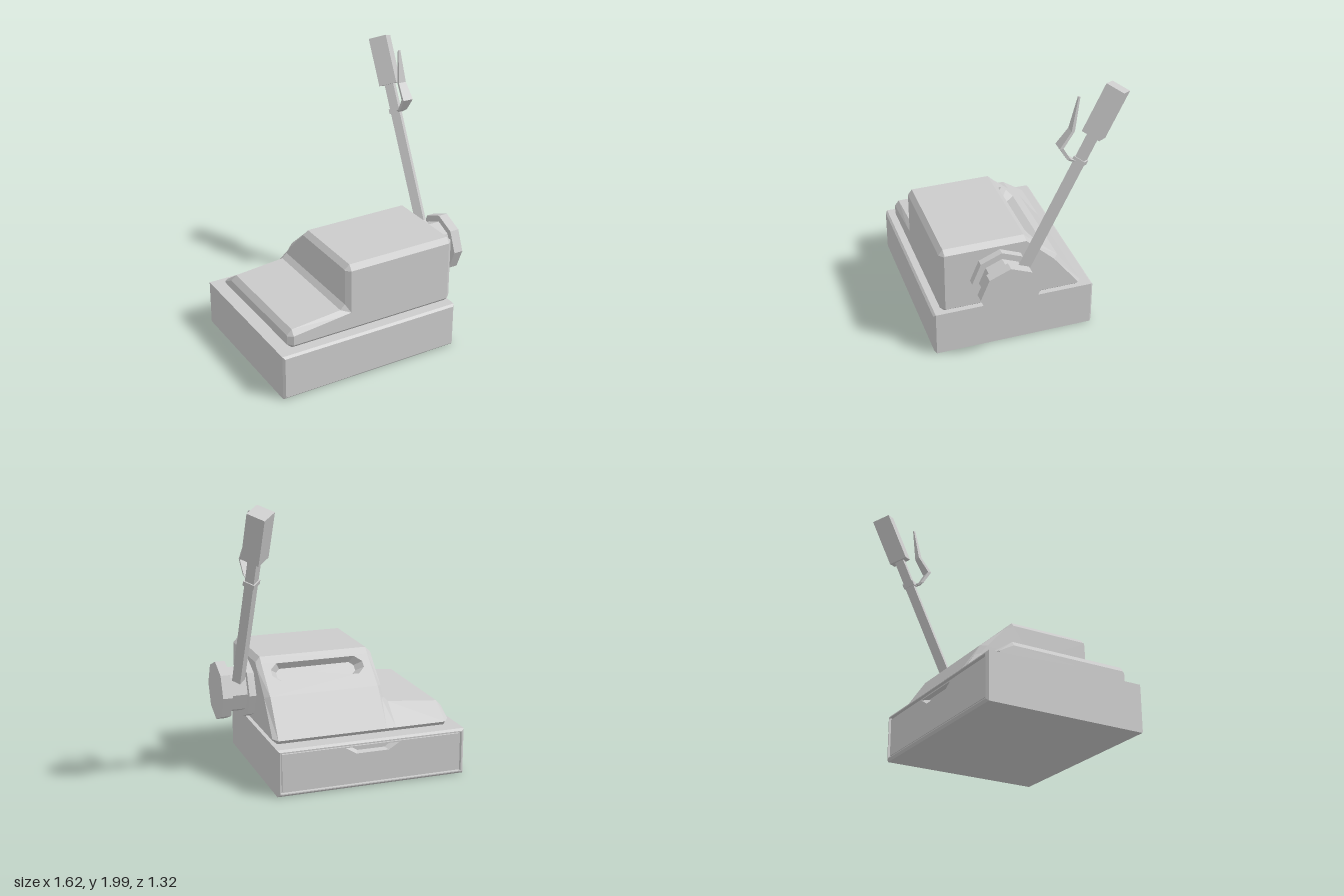
import * as THREE from 'three';

const V = (x, y, z) => new THREE.Vector3(x, y, z);
const material = new THREE.MeshStandardMaterial({ color: 0xcccccc, flatShading: true });

function add(parent, name, geometry) {
  const mesh = new THREE.Mesh(geometry, material);
  mesh.name = name;
  parent.add(mesh);
  return mesh;
}

// Skin rings of points (counter-clockwise seen from the travel direction).
function loft(rings, { start = true, end = true, skip = () => false } = {}) {
  const out = [];
  const tri = (a, b, c) => [a, b, c].forEach((p) => out.push(p.x, p.y, p.z));
  const n = rings[0].length;
  for (let i = 0; i < rings.length - 1; i++) {
    for (let j = 0; j < n; j++) {
      if (skip(i, j)) continue;
      const k = (j + 1) % n;
      tri(rings[i][j], rings[i][k], rings[i + 1][k]);
      tri(rings[i][j], rings[i + 1][k], rings[i + 1][j]);
    }
  }
  const cap = (ring, flip) => {
    const c = V(0, 0, 0);
    ring.forEach((p) => c.addScaledVector(p, 1 / n));
    ring.forEach((p, j) => {
      const q = ring[(j + 1) % n];
      if (flip) tri(c, q, p);
      else tri(c, p, q);
    });
  };
  if (start) cap(rings[0], true);
  if (end) cap(rings[rings.length - 1], false);
  const g = new THREE.BufferGeometry();
  g.setAttribute('position', new THREE.Float32BufferAttribute(out, 3));
  g.computeVertexNormals();
  return g;
}

// Flat panel with a sunken pocket: facing local +z, corners counter-clockwise.
function recessedPanel(parent, name, outline, hole, floor, depth, matrix) {
  const group = new THREE.Group();
  group.name = name;
  const shape = new THREE.Shape(outline.map(([x, y]) => new THREE.Vector2(x, y)));
  shape.holes.push(new THREE.Path(hole.map(([x, y]) => new THREE.Vector2(x, y))));
  add(group, name + 'Face', new THREE.ShapeGeometry(shape));
  const ring = (pts, z) => pts.map(([x, y]) => V(x, y, z));
  add(group, name + 'Pocket', loft([ring(hole, 0), ring(floor, -depth)], { start: false }));
  group.applyMatrix4(matrix);
  parent.add(group);
}

const box2 = (x0, y0, x1, y1) => [[x0, y0], [x1, y0], [x1, y1], [x0, y1]];
const octagon = (x0, y0, x1, y1, c) => [
  [x0 + c, y0], [x1 - c, y0], [x1, y0 + c], [x1, y1 - c],
  [x1 - c, y1], [x0 + c, y1], [x0, y1 - c], [x0, y0 + c]];

function buildBase(parent) {
  // Ring of the base at depth z, shrunk by inset
  const ring = (inset, z) =>
    box2(-0.81 + inset, inset, 0.57 - inset, 0.335 - inset).map(([x, y]) => V(x, y, z)).reverse();
  add(parent, 'base', loft([
    ring(0.015, 0.64), ring(0, 0.625), ring(0, -0.525), ring(0.015, -0.54),
    ring(0.022, -0.54), ring(0.022, -0.515), ring(0.034, -0.515), ring(0.034, -0.53),
  ], { end: false }));

  // Drawer front with a finger pull
  const pull = [[0, 0.245], [0.24, 0.245], [0.32, 0.293], [-0.08, 0.293]];
  const pullFloor = [[0.02, 0.255], [0.22, 0.255], [0.28, 0.293], [-0.04, 0.293]];
  recessedPanel(parent, 'drawer', box2(-0.536, 0.034, 0.776, 0.301), pull, pullFloor, 0.04,
    new THREE.Matrix4().makeRotationY(Math.PI).setPosition(0, 0, -0.53));
}

function buildBody(parent) {
  const ring = (profile, x) => profile.map(([z, y]) => V(x, y, z));

  // Tall housing, side profile as [z, y] with a smaller one for the bevelled ends
  const side = [[-0.02, 0.85], [0.555, 0.85], [0.585, 0.81], [0.585, 0.37], [0.555, 0.34],
    [-0.42, 0.34], [-0.45, 0.37], [-0.27, 0.63], [-0.06, 0.81]];
  const endSide = [[-0.03, 0.815], [0.55, 0.815], [0.555, 0.81], [0.555, 0.375], [0.55, 0.37],
    [-0.41, 0.37], [-0.42, 0.38], [-0.235, 0.62], [-0.055, 0.79]];
  add(parent, 'housing', loft(
    [ring(endSide, -0.29), ring(side, -0.255), ring(side, 0.535), ring(endSide, 0.57)],
    { skip: (i, j) => i === 1 && j === 7 }));

  // Upper slope with the long window slot
  const low = V(0, 0.63, -0.27);
  const up = V(0, 0.81, -0.06).sub(low);
  const len = up.length();
  up.normalize();
  const matrix = new THREE.Matrix4()
    .makeBasis(V(-1, 0, 0), up, V(0, up.z, -up.y)).setPosition(low);
  recessedPanel(parent, 'windowSlope', box2(-0.535, 0, 0.255, len),
    octagon(-0.48, 0.118, 0.2, 0.268, 0.05), octagon(-0.43, 0.15, 0.15, 0.255, 0.03),
    0.055, matrix);

  // Low side shelf, rising to a small fillet against the housing
  const shelf = (x, top, lip) => ring([[-0.29, top], [0.555, top], [0.585, lip], [0.585, 0.37],
    [0.555, 0.34], [-0.42, 0.34], [-0.45, 0.37]], x);
  const shelfEnd = ring([[-0.3, 0.44], [0.55, 0.44], [0.555, 0.43], [0.555, 0.375],
    [0.55, 0.37], [-0.4, 0.37], [-0.41, 0.38]], -0.735);
  add(parent, 'shelf', loft([shelfEnd, shelf(-0.7, 0.48, 0.44), shelf(-0.325, 0.515, 0.482),
    shelf(-0.255, 0.585, 0.49)]));
}

function buildLever(parent) {
  // Octagonal hub on the model's left side
  const hub = (name, x0, x1, r) => {
    const g = new THREE.CylinderGeometry(r, r, x1 - x0, 8).rotateZ(Math.PI / 2);
    add(parent, name, g).position.set((x0 + x1) / 2, 0.578, 0.163);
  };
  hub('hubInnerDisc', 0.565, 0.62, 0.213);
  hub('hubCore', 0.62, 0.74, 0.165);
  hub('hubOuterDisc', 0.74, 0.81, 0.213);

  // Square bars set on edge, measured along the tilted arm
  const lever = new THREE.Group();
  lever.name = 'lever';
  lever.position.set(0.678, 0.70, 0.018);
  lever.rotation.x = -Math.atan2(0.44, 0.9);
  parent.add(lever);
  const bar = (name, r, y0, y1) =>
    add(lever, name, new THREE.CylinderGeometry(r, r, y1 - y0, 4)).position.y = (y0 + y1) / 2;
  bar('arm', 0.047, -0.02, 1.06);
  bar('collar', 0.059, 0.825, 0.86);
  bar('grip', 0.093, 1.04, 1.395);

  // Bent trigger blade: [y, z, half width, half thickness]
  const blade = [[1.47, -0.30, 0.02, 0.014], [1.495, -0.262, 0.03, 0.012],
    [1.59, -0.205, 0.04, 0.013], [1.70, -0.285, 0.03, 0.011], [1.93, -0.328, 0.007, 0.006]];
  add(parent, 'trigger', loft(blade.map(([y, z, w, t]) =>
    box2(-w, -t, w, t).map(([x, d]) => V(0.678 + x, y, z + d)).reverse())));
}

export function createModel() {
  const model = new THREE.Group();
  model.name = 'registerWithLever';
  buildBase(model);
  buildBody(model);
  buildLever(model);
  return model;
}
